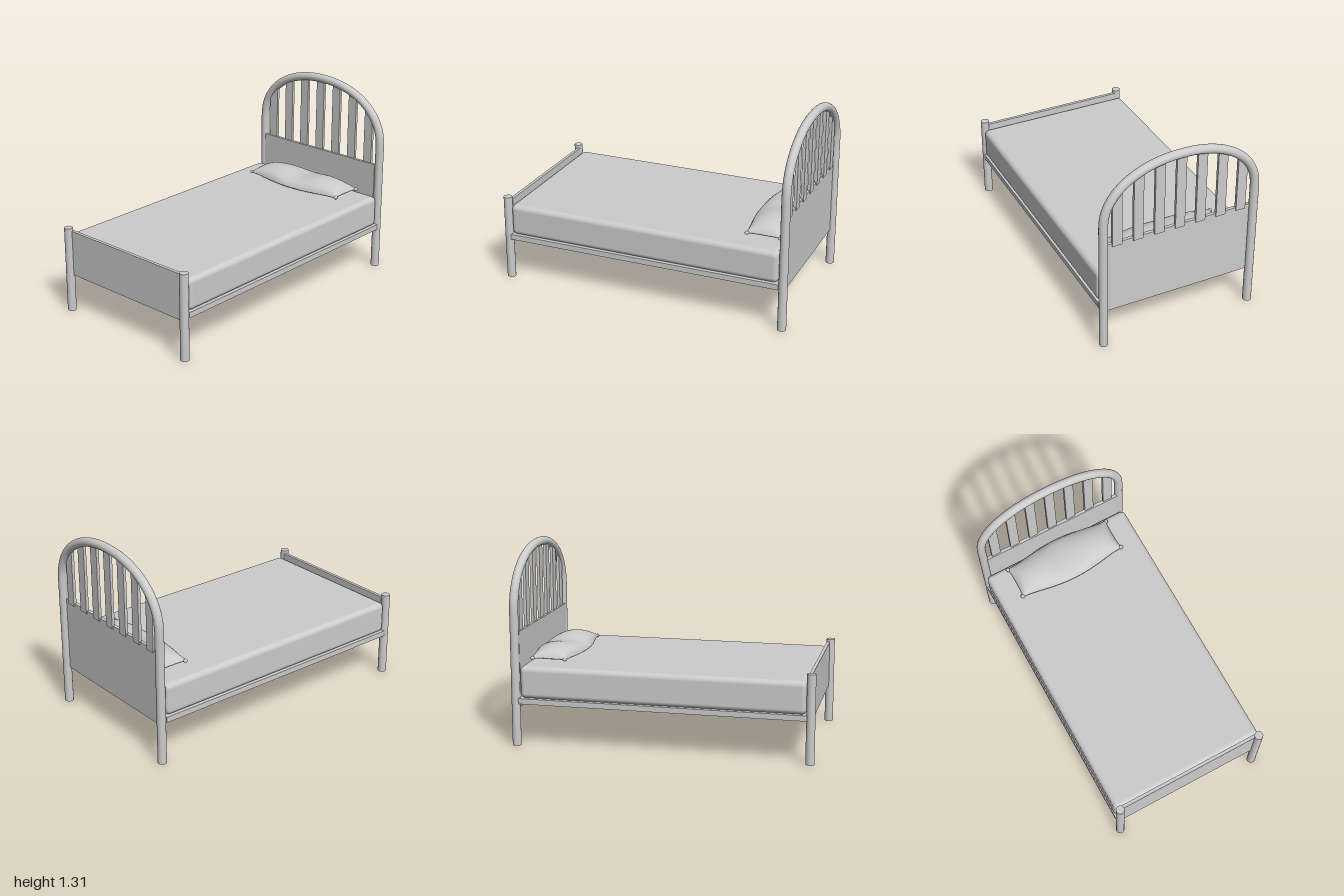
import * as THREE from 'three';
import { mergeVertices } from 'three/addons/utils/BufferGeometryUtils.js';
import { RoundedBoxGeometry } from 'three/addons/geometries/RoundedBoxGeometry.js';

const POST_X = 0.523, POST_R = 0.029, POST_Z = 0.971;
const ARCH_Y = 0.9, ARCH_H = 0.378, ARCH_N = 2.12;

// height of the headboard tube's centre line at x
const archY = (x) =>
  ARCH_Y + ARCH_H * Math.pow(1 - Math.pow(Math.abs(x) / POST_X, ARCH_N), 1 / ARCH_N);

export function createModel() {
  const bed = new THREE.Group();
  bed.name = 'bed';
  const material = new THREE.MeshStandardMaterial({ color: 0xcccccc });

  const add = (name, geometry, x = 0, y = 0, z = 0) => {
    const mesh = new THREE.Mesh(geometry, material);
    mesh.name = name;
    mesh.position.set(x, y, z);
    bed.add(mesh);
    return mesh;
  };

  // box given by its lower and upper corners
  const addBox = (name, [x0, y0, z0], [x1, y1, z1]) =>
    add(name, new THREE.BoxGeometry(x1 - x0, y1 - y0, z1 - z0),
      (x0 + x1) / 2, (y0 + y1) / 2, (z0 + z1) / 2);

  // headboard: one bent tube from floor to floor
  const path = [];
  for (const y of [0, 0.3, 0.6, 0.8]) path.push(new THREE.Vector3(-POST_X, y, 0));
  const steps = 20;
  for (let i = 0; i <= steps; i++) {
    const a = Math.PI * (1 - i / steps);
    const c = Math.cos(a), s = Math.max(0, Math.sin(a));
    path.push(new THREE.Vector3(
      POST_X * Math.sign(c) * Math.pow(Math.abs(c), 2 / ARCH_N),
      ARCH_Y + ARCH_H * Math.pow(s, 2 / ARCH_N), 0));
  }
  for (const y of [0.8, 0.6, 0.3, 0]) path.push(new THREE.Vector3(POST_X, y, 0));
  const curve = new THREE.CatmullRomCurve3(path);
  add('headboardFrame', new THREE.TubeGeometry(curve, 140, POST_R, 24), 0, 0, -POST_Z);

  for (const side of [-1, 1]) {
    add('headboardFoot', new THREE.CircleGeometry(POST_R, 24), side * POST_X, 0, -POST_Z)
      .rotation.x = Math.PI / 2;
    add('footPost', new THREE.CylinderGeometry(POST_R, POST_R, 0.587, 24),
      side * POST_X, 0.2935, POST_Z);
  }

  // headboard slats, tops cut to end inside the arch
  for (let i = -3; i <= 3; i++) {
    const x0 = i * 0.1433 - 0.033, x1 = x0 + 0.066;
    const outline = new THREE.Shape([
      new THREE.Vector2(x0, 0.74), new THREE.Vector2(x1, 0.74),
      new THREE.Vector2(x1, archY(x1)), new THREE.Vector2(x0, archY(x0)),
    ]);
    add('headboardSlat',
      new THREE.ExtrudeGeometry(outline, { depth: 0.02, bevelEnabled: false }), 0, 0, -0.975);
  }

  // panels and base
  addBox('headboardPanel', [-0.503, 0.256, -0.968], [0.503, 0.76, -0.946]);
  addBox('footPanel', [-0.503, 0.256, 0.946], [0.503, 0.567, 0.968]);
  addBox('base', [-0.548, 0.285, -0.947], [0.548, 0.322, 0.95]);

  // mattress
  add('mattress', new RoundedBoxGeometry(1.088, 0.215, 1.882, 6, 0.034), 0, 0.4285, 0.003);

  // pillow: a flat box puffed out by a rule, pinched at the corners
  let pillow = new THREE.BoxGeometry(2, 2, 2, 40, 1, 24);
  pillow.deleteAttribute('uv');
  pillow.deleteAttribute('normal');
  pillow = mergeVertices(pillow);
  const p = pillow.attributes.position;
  for (let i = 0; i < p.count; i++) {
    const u = p.getX(i), v = p.getZ(i), top = p.getY(i) > 0;
    const puff = Math.pow(Math.max(0, (1 - u ** 4) * (1 - v ** 2)), 0.55);
    const dip = 0.022 * Math.exp(-((u / 0.3) ** 2));
    const rim = 0.555 + 0.006 * u * u;
    const x = u * (0.38 + 0.012 * v ** 4);
    const z = v * (0.112 + 0.048 * Math.cos(u * Math.PI / 2) ** 1.3 + 0.01 * u ** 12);
    const y = top ? rim + 0.003 + puff * (0.073 - dip) : rim - 0.003 - puff * 0.012;
    p.setXYZ(i, x, Math.max(y, 0.543), z);
  }
  pillow.computeVertexNormals();
  add('pillow', pillow, -0.003, 0, -0.786);

  // small knots at the pillow corners
  for (const sx of [-1, 1]) {
    for (const sz of [-1, 1]) {
      add('pillowCorner', new THREE.SphereGeometry(0.015, 14, 10),
        -0.003 + sx * 0.386, 0.561, -0.786 + sz * 0.112).scale.y = 0.75;
    }
  }
  return bed;
}
